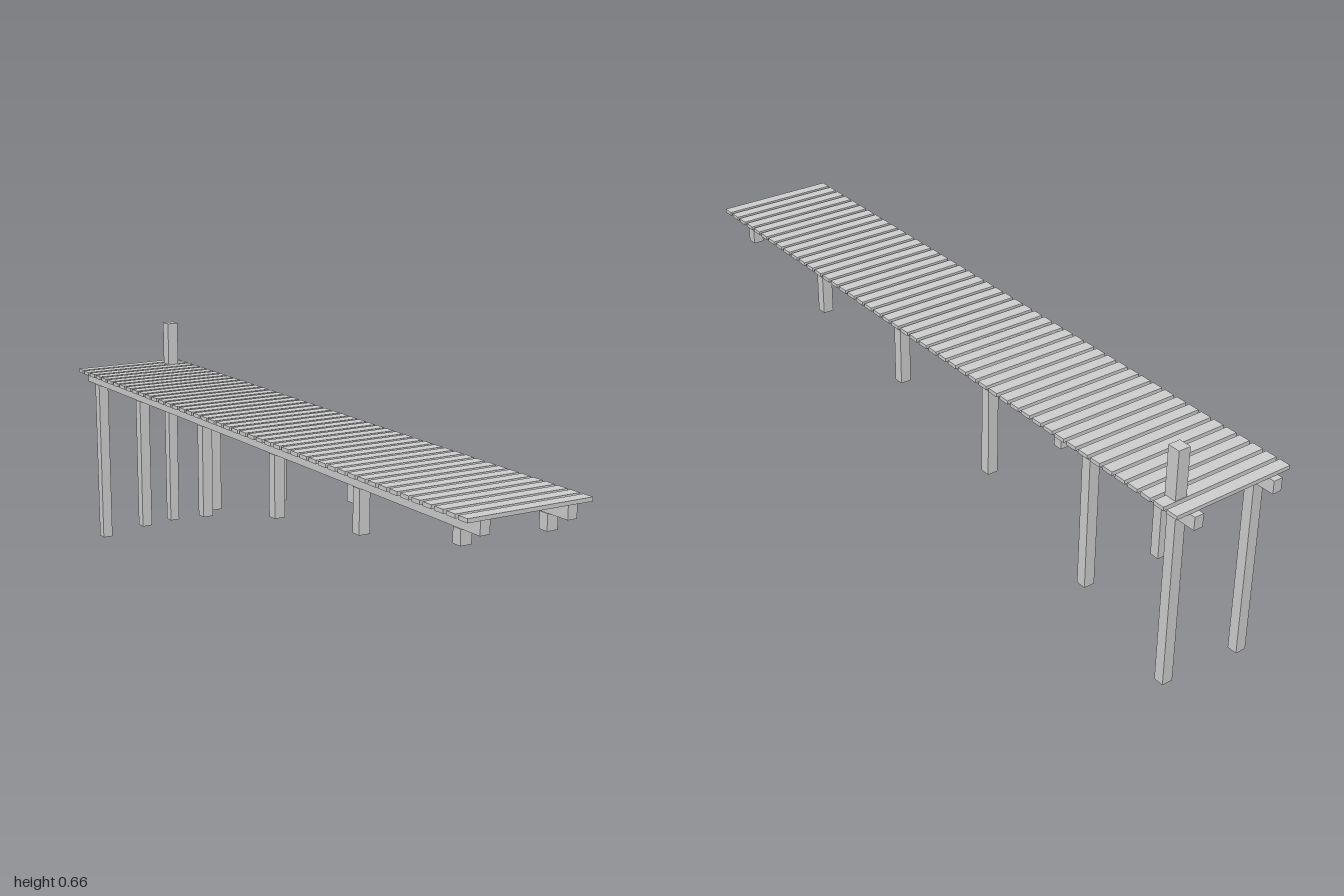
import * as THREE from 'three';

export function createModel() {
  const group = new THREE.Group();
  const material = new THREE.MeshStandardMaterial({ color: 0xcccccc, flatShading: true });

  // Box spanning y0..y1, centred on x and z
  const addBox = (name, width, depth, x, y0, y1, z) => {
    const mesh = new THREE.Mesh(new THREE.BoxGeometry(width, y1 - y0, depth), material);
    mesh.name = name;
    mesh.position.set(x, (y0 + y1) / 2, z);
    group.add(mesh);
  };

  // Deck planks, evenly spaced with narrow gaps
  const plankCount = 47;
  for (let i = 0; i < plankCount; i++) {
    const z = THREE.MathUtils.lerp(-0.969, 0.984, i / (plankCount - 1));
    addBox('plank', 0.34, 0.032, 0, 0.522, 0.532, z);
  }

  // Piles get longer towards the deep end; the two sides differ slightly
  const pileZ = [0.917, 0.527, 0.137, -0.253, -0.642, -0.93];
  const sides = [
    { label: 'right', x: -0.119, feet: [0.449, 0.374, 0.32, 0.23, 0.107, 0] },
    { label: 'left', x: 0.118, feet: [0.446, 0.376, 0.328, 0.242, 0.124, 0.021] },
  ];
  for (const { label, x, feet } of sides) {
    addBox(`${label}Beam`, 0.026, 1.995, x, 0.487, 0.522, -0.0025);
    pileZ.forEach((z, i) => addBox(`${label}Pile`, 0.03, 0.028, x, feet[i], 0.487, z));
  }

  // Mooring post rising through the deck
  addBox('mooringPost', 0.033, 0.034, 0.118, 0.506, 0.66, -0.924);

  return group;
}
